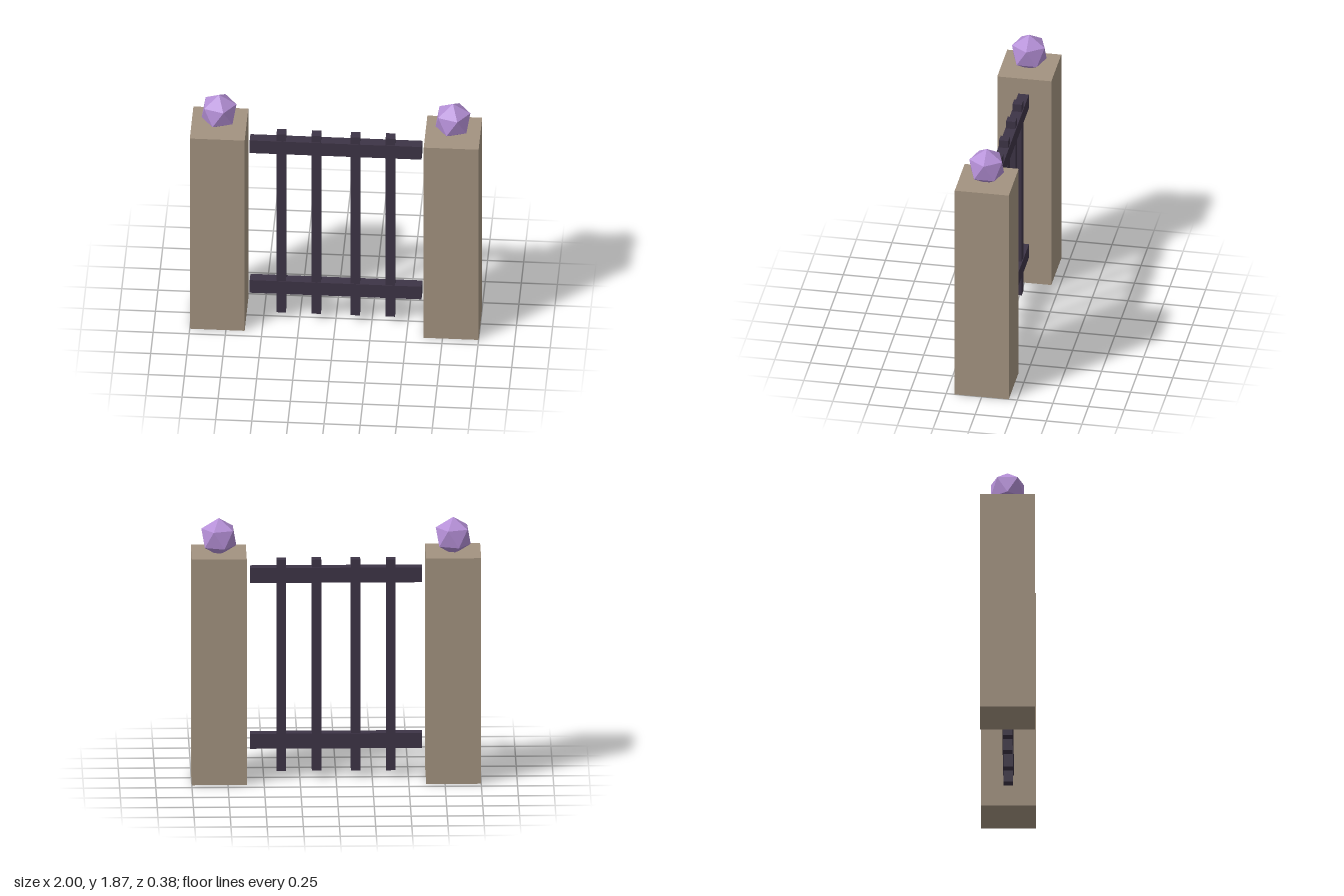
import * as THREE from 'three';

const stone = new THREE.MeshStandardMaterial({ color: 0xa39380 });
const iron = new THREE.MeshStandardMaterial({ color: 0x3d3446 });
const crystal = new THREE.MeshStandardMaterial({ color: 0xb48fd6, flatShading: true });

function addPart(parent, name, geometry, material, x, y, z = 0) {
  const mesh = new THREE.Mesh(geometry, material);
  mesh.name = name;
  mesh.position.set(x, y, z);
  parent.add(mesh);
  return mesh;
}

export function createModel() {
  const model = new THREE.Group();
  model.name = 'gate';

  // Stone posts, each topped by a faceted ball standing on one vertex
  const postGeometry = new THREE.BoxGeometry(0.38, 1.62, 0.38);
  const ballGeometry = new THREE.IcosahedronGeometry(0.135, 0);
  ballGeometry.rotateZ(-Math.atan((Math.sqrt(5) - 1) / 2));
  for (const [side, sign] of [['left', 1], ['right', -1]]) {
    addPart(model, side + 'Post', postGeometry, stone, sign * 0.81, 0.81);
    addPart(model, side + 'Finial', ballGeometry, crystal, sign * 0.81, 1.73);
  }

  // Barred panel between the posts
  const panel = new THREE.Group();
  panel.name = 'gatePanel';
  model.add(panel);

  const railGeometry = new THREE.BoxGeometry(1.19, 0.107, 0.075);
  addPart(panel, 'topRail', railGeometry, iron, 0, 1.46);
  addPart(panel, 'bottomRail', railGeometry, iron, 0, 0.27);

  const barGeometry = new THREE.BoxGeometry(0.065, 1.515, 0.065);
  [-0.378, -0.135, 0.135, 0.378].forEach((x, i) =>
    addPart(panel, 'bar' + (i + 1), barGeometry, iron, x, 0.813));

  return model;
}
